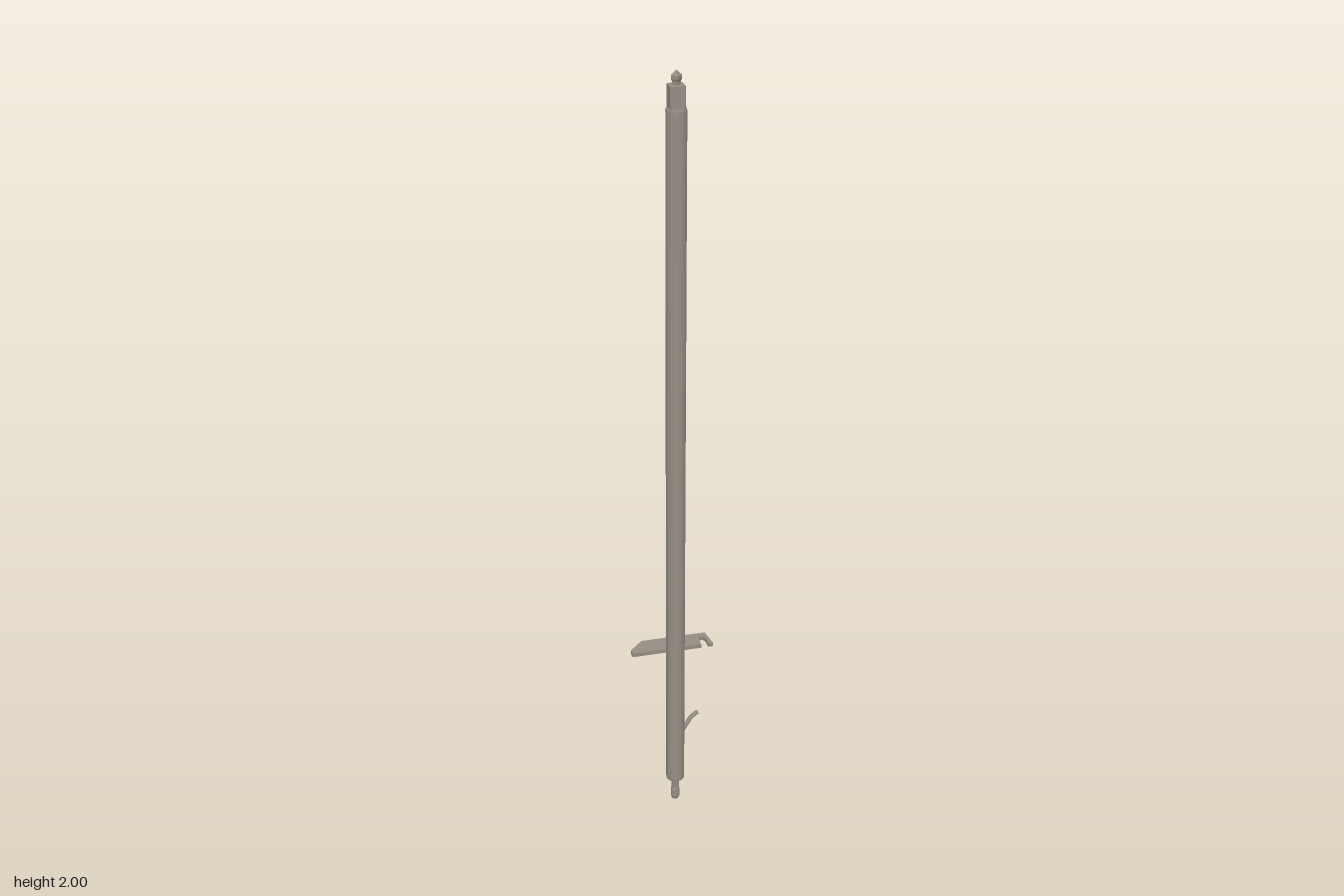
import * as THREE from 'three';

const AXIS_Z = 0.061; // the tube stands in front of the plate and lever

export function createModel() {
  const group = new THREE.Group();
  const material = new THREE.MeshStandardMaterial({ color: 0x958e84, flatShading: true });
  const add = (name, geometry, x = 0, y = 0, z = 0) => {
    const mesh = new THREE.Mesh(geometry, material);
    mesh.name = name;
    mesh.position.set(x, y, z);
    group.add(mesh);
    return mesh;
  };
  // Turned part from [radius, height] pairs
  const turned = (points, sides) =>
    new THREE.LatheGeometry(points.map(([r, y]) => new THREE.Vector2(r, y)), sides);
  // Flat part from [x, z] corners, hanging down from its own origin
  const slab = (corners, depth) => {
    const shape = new THREE.Shape(corners.map(([x, z]) => new THREE.Vector2(x, z)));
    return new THREE.ExtrudeGeometry(shape, { depth, bevelEnabled: false }).rotateX(Math.PI / 2);
  };

  // Main tube, widening very slightly upward
  add('tube', turned([[0, 0.068], [0.0235, 0.068], [0.0245, 0.072], [0.0253, 1.908], [0.024, 1.913], [0, 1.913]], 16), 0, 0, AXIS_Z);

  // Foot pin
  add('footPin', turned([[0, 0], [0.009, 0], [0.0118, 0.008], [0.0118, 0.03], [0.0105, 0.034], [0.0105, 0.07]], 12), 0, 0, AXIS_Z);

  // Square head block with clipped corners
  const a = 0.0185, b = 0.016;
  const headOutline = [[a, -b], [a, b], [b, a], [-b, a], [-a, b], [-a, -b], [-b, -a], [b, -a]];
  add('headBlock', slab(headOutline, 0.055), 0, 1.966, AXIS_Z);

  // Four-sided pointed tip
  add('tip', turned([[0.0105, 1.96], [0.0105, 1.974], [0.013, 1.979], [0.013, 1.988], [0, 2]], 4), 0, 0, AXIS_Z);

  // Flat plate with a sloped end and a notch
  const plateOutline = [
    [-0.11, 0.04], [-0.11, 0.023], [-0.073, -0.015], [0.1, -0.015], [0.108, 0.04], [0.095, 0.04],
    [0.095, 0.013], [0.09, 0.004], [0.081, 0.004], [0.076, 0.013], [0.076, 0.04],
  ];
  add('plate', slab(plateOutline, 0.011), 0, 0.463, 0);

  // Bent lever, two straight rods reaching backward
  const path = [[0.003, 0.04], [0.079, -0.068], [0.1, -0.084]].map(([x, z]) => new THREE.Vector3(x, 0.164, z));
  ['leverArm', 'leverTip'].forEach((name, i) => {
    const line = new THREE.LineCurve3(path[i], path[i + 1]);
    const rod = add(name, new THREE.CylinderGeometry(0.006, 0.006, line.getLength(), 10));
    rod.position.copy(line.getPoint(0.5));
    rod.quaternion.setFromUnitVectors(new THREE.Vector3(0, 1, 0), line.getTangent(0));
  });
  add('leverBend', new THREE.SphereGeometry(0.006, 10, 6), ...path[1]);

  return group;
}
